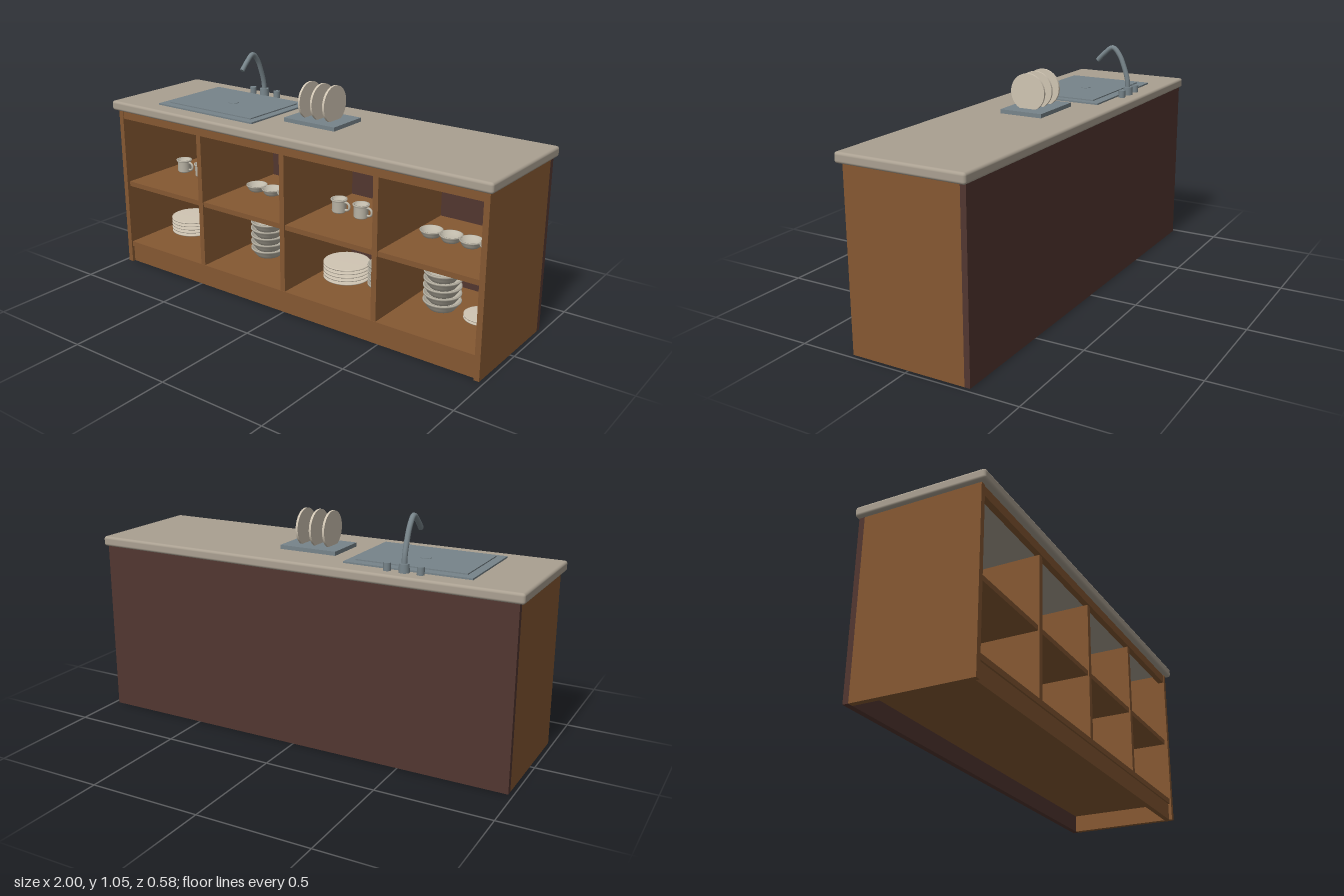
import * as THREE from 'three';
import { RoundedBoxGeometry } from 'three/addons/geometries/RoundedBoxGeometry.js';

const mat = (name, color, side = THREE.FrontSide) => {
  const m = new THREE.MeshStandardMaterial({ color, side });
  m.name = name;
  return m;
};

export function createModel() {
  const wood = mat('wood', 0x855832);
  const darkWood = mat('darkWood', 0x523630);
  const stone = mat('stone', 0xaaa091);
  const metal = mat('metal', 0x77848a);
  const plateCream = mat('plateCream', 0xd0c5b3);
  const stoneware = mat('stoneware', 0xbfb9aa, THREE.DoubleSide);

  const root = new THREE.Group();
  root.name = 'kitchenCounter';

  const add = (name, geo, material, x = 0, y = 0, z = 0, parent = root) => {
    const m = new THREE.Mesh(geo, material);
    m.name = name;
    m.position.set(x, y, z);
    parent.add(m);
    return m;
  };
  // Box given by its minimum and maximum along each axis
  const box = (name, material, x0, x1, y0, y1, z0, z1) =>
    add(name, new THREE.BoxGeometry(x1 - x0, y1 - y0, z1 - z0), material,
      (x0 + x1) / 2, (y0 + y1) / 2, (z0 + z1) / 2);
  const lathe = (pts, seg = 24) =>
    new THREE.LatheGeometry(pts.map(([r, y]) => new THREE.Vector2(r, y)), seg);

  // Cabinet carcass
  for (const s of [-1, 1]) {
    box('sidePanel', wood, s > 0 ? 0.955 : -0.98, s > 0 ? 0.98 : -0.955, 0, 0.78, -0.255, 0.265);
  }
  box('backPanel', darkWood, -0.98, 0.98, 0, 0.78, -0.28, -0.255);
  box('bottomShelf', wood, -0.955, 0.955, 0.08, 0.105, -0.255, 0.258);
  box('middleShelf', wood, -0.955, 0.955, 0.395, 0.418, -0.255, 0.25);
  box('topRail', wood, -0.955, 0.955, 0.737, 0.78, 0.235, 0.262);
  box('kickBoard', wood, -0.955, 0.955, 0, 0.08, 0.225, 0.25);
  for (const x of [-0.478, 0, 0.478]) {
    box('divider', wood, x - 0.0125, x + 0.0125, 0.105, 0.737, -0.255, 0.256);
  }

  // Worktop
  add('worktop', new RoundedBoxGeometry(2, 0.045, 0.58, 3, 0.012), stone, 0, 0.8015, 0);

  // Sink with raised inner panel and drain
  box('sinkRim', metal, -0.765, -0.2, 0.822, 0.831, -0.2, 0.21);
  box('sinkPanel', metal, -0.728, -0.237, 0.831, 0.836, -0.158, 0.173);
  add('drain', new THREE.CylinderGeometry(0.024, 0.024, 0.003, 24), metal, -0.483, 0.8365, 0.005);

  // Tap with a curved spout and two handles
  const tap = new THREE.Group();
  tap.name = 'tap';
  tap.position.set(-0.483, 0, 0);
  root.add(tap);
  add('tapBase', new THREE.CylinderGeometry(0.021, 0.023, 0.038, 20), metal, 0, 0.842, -0.218, tap);
  const path = new THREE.CatmullRomCurve3([
    [-0.218, 0.85], [-0.214, 0.895], [-0.197, 0.95], [-0.171, 1.007],
    [-0.137, 1.039], [-0.093, 1.008], [-0.06, 0.974],
  ].map(([z, y]) => new THREE.Vector3(0, y, z)));
  add('spout', new THREE.TubeGeometry(path, 28, 0.0115, 12), metal, 0, 0, 0, tap);
  const end = add('spoutTip', new THREE.CircleGeometry(0.0115, 12), metal, 0, 0.974, -0.06, tap);
  end.lookAt(end.position.clone().add(path.getTangent(1)).add(new THREE.Vector3(-0.483, 0, 0)));
  for (const s of [-1, 1]) {
    add('tapHandle', new THREE.CylinderGeometry(0.0155, 0.0155, 0.034, 16), metal, s * 0.073, 0.84, -0.222, tap);
  }

  // Draining rack with upright plates
  box('dishRack', metal, -0.115, 0.155, 0.822, 0.842, -0.11, 0.09);
  const uprightPlate = new THREE.CylinderGeometry(0.082, 0.082, 0.01, 36).rotateZ(Math.PI / 2);
  for (const x of [-0.045, 0.02, 0.085]) {
    add('uprightPlate', uprightPlate, plateCream, x, 0.913, -0.007);
  }

  // Crockery profiles
  const plateGeo = (r, h) => lathe([
    [0, 0], [r * 0.72, 0], [r * 0.8, h * 0.25], [r, h * 0.7], [r, h * 0.95], [r * 0.94, h], [0, h]], 32);
  const bowlGeo = (r, h) => lathe([
    [0, 0], [r * 0.68, 0], [r * 0.84, h * 0.4], [r * 0.93, h * 0.78], [r, h * 0.82], [r, h],
    [r * 0.92, h], [r * 0.8, h * 0.6], [r * 0.55, h * 0.35], [0, h * 0.3]], 28);
  const stack = (name, geo, material, n, step, x, y, z) => {
    for (let i = 0; i < n; i++) add(name, geo, material, x, y + i * step, z);
  };
  const bigPlate = plateGeo(0.107, 0.0175);
  const smallPlate = plateGeo(0.079, 0.0125);
  const bowl = bowlGeo(0.073, 0.035);
  const bigBowl = bowlGeo(0.083, 0.042);
  const saucerBowl = bowlGeo(0.05, 0.03);
  const cupBody = lathe([
    [0, 0], [0.029, 0], [0.033, 0.006], [0.033, 0.052], [0.038, 0.057], [0.038, 0.063],
    [0.031, 0.063], [0.029, 0.05], [0, 0.048]]);
  const cupHandle = new THREE.TorusGeometry(0.018, 0.0055, 8, 16, Math.PI * 1.2).rotateZ(-Math.PI * 0.6);

  // The same crockery fills the left and right halves
  const Z = -0.025;
  for (const dx of [0, 0.955]) {
    for (const x of [-0.853, -0.734, -0.615]) {
      const cup = new THREE.Group();
      cup.name = 'cup';
      cup.position.set(x + dx, 0.418, Z);
      root.add(cup);
      add('cupBody', cupBody, stoneware, 0, 0, 0, cup);
      add('cupHandle', cupHandle, stoneware, 0.038, 0.032, 0, cup);
    }
    for (let i = 0; i < 4; i++) {
      add('smallBowl', saucerBowl, stoneware, -0.377 + i * 0.0935 + dx, 0.418, Z);
    }
    stack('dinnerPlate', bigPlate, plateCream, 5, 0.0168, -0.807 + dx, 0.105, Z);
    stack('bowl', bowl, stoneware, 4, 0.03, -0.607 + dx, 0.105, Z);
    stack('largeBowl', bigBowl, stoneware, 5, 0.0335, -0.312 + dx, 0.105, Z);
    stack('sidePlate', smallPlate, plateCream, 2, 0.0125, -0.12 + dx, 0.105, Z);
  }
  return root;
}
